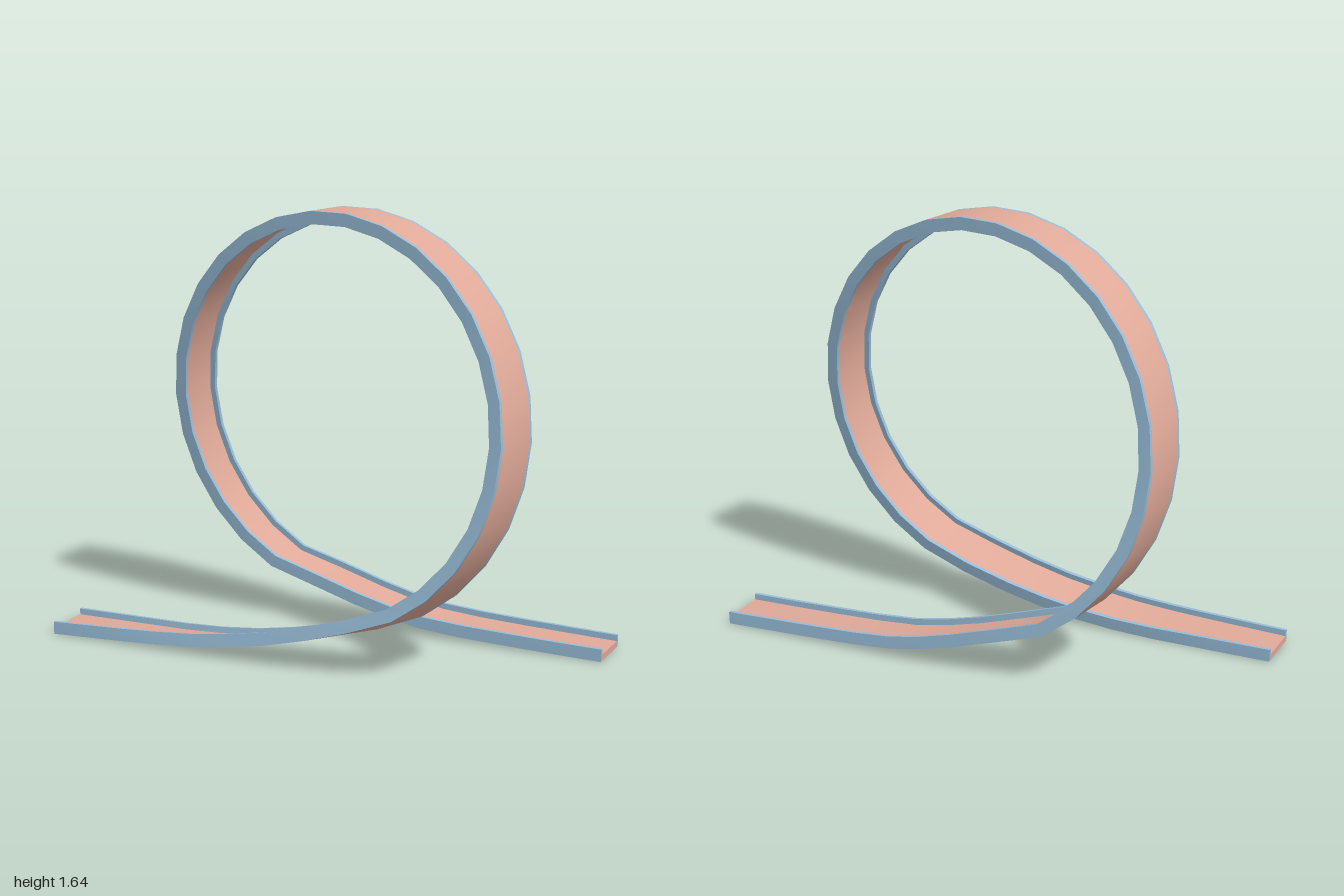
import * as THREE from 'three';

const bedMaterial = new THREE.MeshStandardMaterial({ color: 0xdfa998 });
bedMaterial.name = 'salmon bed';
const railMaterial = new THREE.MeshStandardMaterial({ color: 0x96bbd6 });
railMaterial.name = 'light blue rail';

const V = (x, y, z) => new THREE.Vector3(x, y, z);

// Matching stations along the two outer lower edges of the track
function trackEdges() {
  const front = [], back = [];
  // Entry ramp: [front x, front y, back x, back y]
  const entry = [
    [-1, 0, -1, 0], [-0.85, 0.006, -0.85, 0], [-0.7, 0.012, -0.69, 0], [-0.55, 0.02, -0.53, 0],
    [-0.4, 0.032, -0.37, 0.006], [-0.25, 0.052, -0.22, 0.02], [-0.1, 0.078, -0.07, 0.045],
    [0.05, 0.115, 0.085, 0.08], [0.23, 0.17, 0.265, 0.132],
  ];
  entry.forEach(([fx, fy, bx, by]) => {
    front.push(V(fx, fy, 0.385));
    back.push(V(bx, by, 0.182));
  });
  // Loop, drifting towards the back as it turns
  for (let deg = -60; deg <= 240; deg += 12) {
    const a = THREE.MathUtils.degToRad(deg), u = 90 - deg;
    const drift = 0.28 * Math.sin(THREE.MathUtils.degToRad(u * 0.55));
    const lift = 0.03 * Math.pow(Math.max(u, 0) / 150, 2);
    front.push(V(0.025 + 0.755 * Math.cos(a), 0.87 + 0.77 * Math.sin(a) + lift, drift + 0.1));
    back.push(V(0.06 + 0.76 * Math.cos(a), 0.87 + 0.77 * Math.sin(a), drift - 0.1));
  }
  // Exit ramp
  const exit = [
    [-0.18, 0.148, -0.14, 0.148], [0, 0.092, 0.04, 0.092], [0.14, 0.056, 0.17, 0.058],
    [0.28, 0.03, 0.3, 0.034], [0.45, 0.017, 0.46, 0.021], [0.63, 0.01, 0.63, 0.013],
    [0.82, 0.004, 0.82, 0.006], [1, 0, 1, 0],
  ];
  exit.forEach(([fx, fy, bx, by]) => {
    front.push(V(fx, fy, -0.182));
    back.push(V(bx, by, -0.385));
  });
  return { front, back };
}

// Local frame at every station: across the track and up from its bed
function trackFrames() {
  const { front, back } = trackEdges();
  const mid = front.map((p, i) => p.clone().add(back[i]).multiplyScalar(0.5));
  return front.map((origin, i) => {
    const along = mid[Math.min(i + 1, mid.length - 1)].clone().sub(mid[Math.max(i - 1, 0)]);
    const across = back[i].clone().sub(origin);
    const width = across.length();
    across.normalize();
    const up = along.cross(across).normalize();
    return { origin, across, width, up };
  });
}

// Sweep a rectangle along the frames; range(width) gives its [start, end] across the track
function sweep(frames, range, low, high) {
  const positions = [], index = [];
  const rings = frames.map(({ origin, across, width, up }) => {
    const [s0, s1] = range(width);
    return [[s0, low], [s1, low], [s1, high], [s0, high]].map(([s, h]) =>
      origin.clone().addScaledVector(across, s).addScaledVector(up, h));
  });
  // Four long sides, smooth along the length and sharp at the corners
  for (let k = 0; k < 4; k++) {
    const base = positions.length / 3;
    rings.forEach((ring, i) => {
      positions.push(...ring[k].toArray(), ...ring[(k + 1) % 4].toArray());
      if (i === 0) return;
      const a = base + (i - 1) * 2, b = a + 1, c = a + 2, d = a + 3;
      index.push(a, b, d, a, d, c);
    });
  }
  // End caps
  [[...rings[0]].reverse(), rings[rings.length - 1]].forEach((ring) => {
    const base = positions.length / 3;
    ring.forEach((p) => positions.push(...p.toArray()));
    index.push(base, base + 1, base + 2, base, base + 2, base + 3);
  });
  const geometry = new THREE.BufferGeometry();
  geometry.setAttribute('position', new THREE.Float32BufferAttribute(positions, 3));
  geometry.setIndex(index);
  geometry.computeVertexNormals();
  return geometry;
}

export function createModel() {
  const group = new THREE.Group();
  group.name = 'loopTrack';
  const frames = trackFrames();
  const rail = 0.014, railHeight = 0.048, bedHeight = 0.025;

  const addPart = (name, material, range, height) => {
    const mesh = new THREE.Mesh(sweep(frames, range, 0, height), material);
    mesh.name = name;
    group.add(mesh);
  };
  addPart('trackBed', bedMaterial, (w) => [rail, w - rail], bedHeight);
  addPart('frontRail', railMaterial, () => [0, rail], railHeight);
  addPart('backRail', railMaterial, (w) => [w - rail, w], railHeight);
  return group;
}
